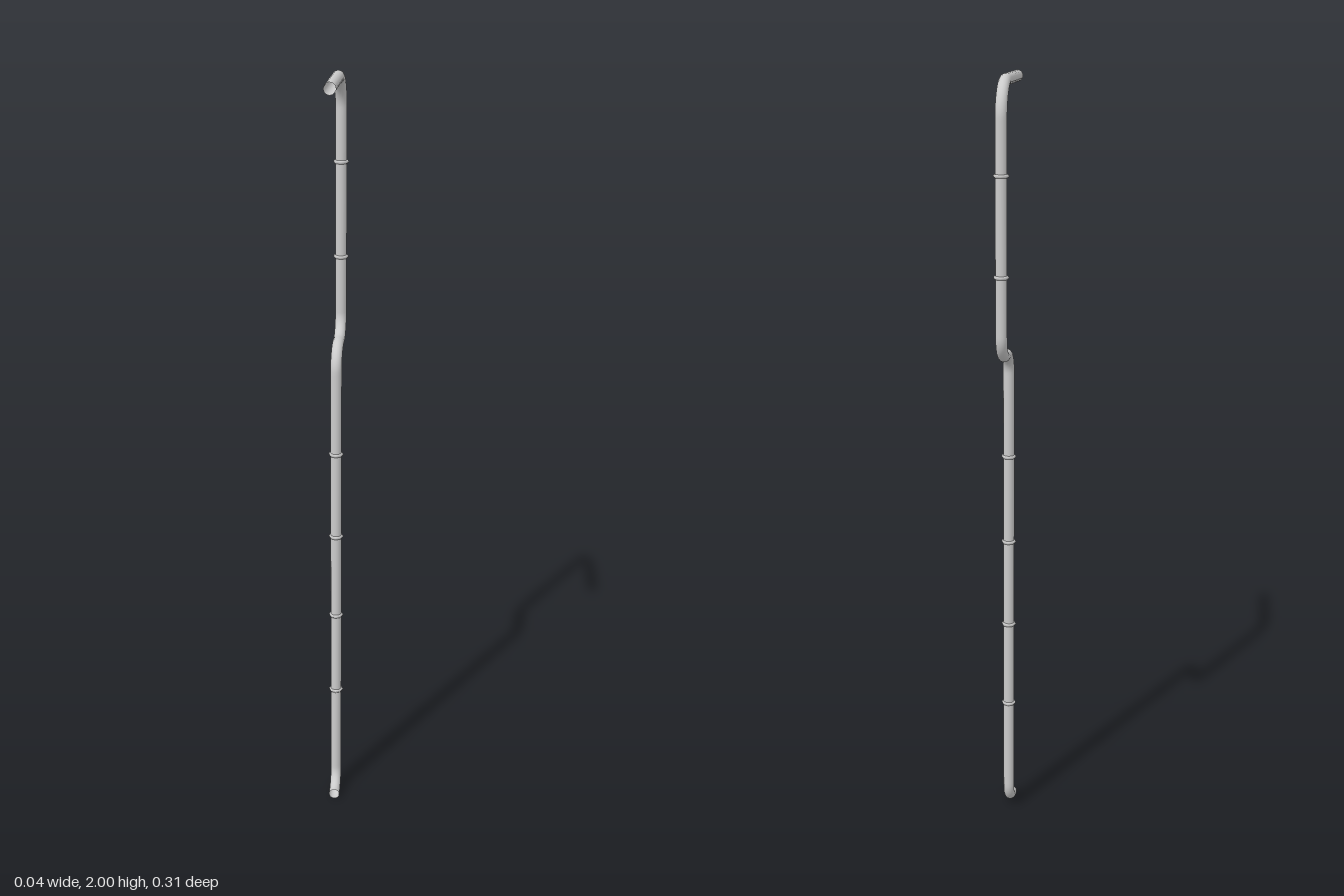
import * as THREE from 'three';

const RADIUS = 0.0145;
const LOWER_Z = -0.002;
const UPPER_Z = -0.134;

// Path through [y, z, bend radius] corners, each corner rounded to a quarter circle
function roundedPath(corners) {
  const points = corners.map(([y, z]) => new THREE.Vector3(0, y, z));
  const path = new THREE.CurvePath();
  let from = points[0];
  for (let i = 1; i < points.length - 1; i++) {
    const p = points[i];
    const r = corners[i][2];
    const toPrev = points[i - 1].clone().sub(p).normalize();
    const toNext = points[i + 1].clone().sub(p).normalize();
    const at = (dir, d) => p.clone().addScaledVector(dir, d);
    path.add(new THREE.LineCurve3(from, at(toPrev, r)));
    path.add(new THREE.CubicBezierCurve3(
      at(toPrev, r), at(toPrev, r * 0.448), at(toNext, r * 0.448), at(toNext, r)));
    from = at(toNext, r);
  }
  path.add(new THREE.LineCurve3(from, points[points.length - 1]));
  return path;
}

export function createModel() {
  const model = new THREE.Group();
  model.name = 'drainpipe';
  const material = new THREE.MeshStandardMaterial({ color: 0xcccccc, side: THREE.DoubleSide });

  // One continuous open pipe: outlet, lower run, offset, upper run, top arm
  const path = roundedPath([
    [RADIUS + 0.003, 0.058],
    [RADIUS + 0.003, LOWER_Z, 0.058],
    [1.323, LOWER_Z, 0.06],
    [1.323, UPPER_Z, 0.062],
    [2 - RADIUS, UPPER_Z, 0.085],
    [2 - RADIUS, 0.153],
  ]);
  const pipe = new THREE.Mesh(new THREE.TubeGeometry(path, 260, RADIUS, 16), material);
  pipe.name = 'pipe';
  model.add(pipe);

  // Joint rings around the vertical runs
  const ringGeometry = new THREE.TorusGeometry(RADIUS, 0.005, 6, 8).rotateX(Math.PI / 2);
  const addRings = (heights, z) => heights.forEach((y) => {
    const ring = new THREE.Mesh(ringGeometry, material);
    ring.name = 'jointRing';
    ring.position.set(0, y, z);
    model.add(ring);
  });
  addRings([0.33, 0.566, 0.803, 1.039], LOWER_Z);
  addRings([1.53, 1.77], UPPER_Z);

  return model;
}
